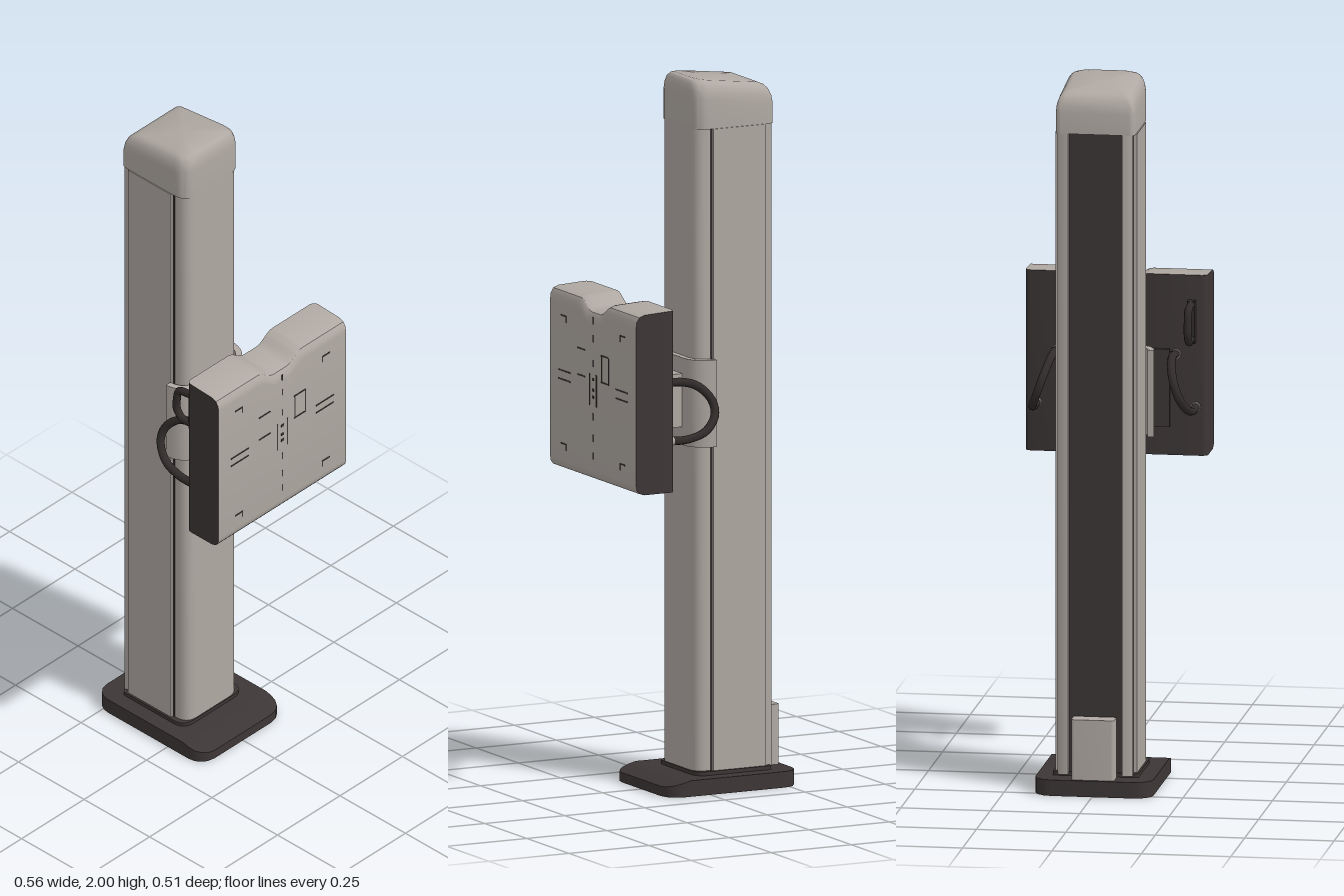
import * as THREE from 'three';
import { toCreasedNormals } from 'three/addons/utils/BufferGeometryUtils.js';

const mat = (name, color) => Object.assign(new THREE.MeshStandardMaterial({ color }), { name });

// Rounded plan outline (x, z), symmetric in z
function planShape(x0, x1, hz, rBack, rFront) {
  const s = new THREE.Shape();
  s.moveTo(x0 + rBack, -hz);
  s.lineTo(x1 - rFront, -hz);
  s.quadraticCurveTo(x1, -hz, x1, -hz + rFront);
  s.lineTo(x1, hz - rFront);
  s.quadraticCurveTo(x1, hz, x1 - rFront, hz);
  s.lineTo(x0 + rBack, hz);
  s.quadraticCurveTo(x0, hz, x0, hz - rBack);
  s.lineTo(x0, -hz + rBack);
  s.quadraticCurveTo(x0, -hz, x0 + rBack, -hz);
  return s;
}

// Upright prism from a plan outline
function prism(shape, y0, y1) {
  const g = new THREE.ExtrudeGeometry(shape, { depth: y1 - y0, bevelEnabled: false, curveSegments: 6 });
  g.rotateX(-Math.PI / 2).translate(0, y0, 0);
  return toCreasedNormals(g, 0.6);
}

// Closed skin over a row of convex cross-sections, wound outward
function loft(rings) {
  const tris = [];
  const n = rings[0].length;
  const mid = r => r.reduce((a, p) => a.add(p), new THREE.Vector3()).divideScalar(n);
  const last = rings[rings.length - 1];
  const c0 = mid(rings[0]), c1 = mid(last);
  for (let j = 0; j < n; j++) {
    const k = (j + 1) % n;
    for (let i = 0; i + 1 < rings.length; i++) {
      const a = rings[i][j], b = rings[i][k], c = rings[i + 1][k], d = rings[i + 1][j];
      tris.push([a, b, c], [a, c, d]);
    }
    tris.push([rings[0][k], rings[0][j], c0], [last[j], last[k], c1]);
  }
  const o = mid([...rings[0]]).add(c1).multiplyScalar(0.5);
  let volume = 0;
  for (const [a, b, c] of tris) {
    volume += a.clone().sub(o).dot(b.clone().sub(o).cross(c.clone().sub(o)));
  }
  if (volume < 0) tris.forEach(t => t.reverse());
  const g = new THREE.BufferGeometry().setFromPoints(tris.flat());
  return toCreasedNormals(g, 0.6);
}

export function createModel() {
  const model = new THREE.Group();
  const grey = mat('warm grey', 0xb0a9a3);
  const dark = mat('charcoal', 0x3d3636);
  const black = mat('grip black', 0x312c2b);
  const add = (name, geometry, material) => {
    const m = new THREE.Mesh(geometry, material);
    m.name = name;
    model.add(m);
    return m;
  };
  const box = (name, x0, x1, y0, y1, z0, z1, material) =>
    add(name, new THREE.BoxGeometry(x1 - x0, y1 - y0, z1 - z0)
      .translate((x0 + x1) / 2, (y0 + y1) / 2, (z0 + z1) / 2), material);
  const V = (x, y, z) => new THREE.Vector3(x, y, z);

  // Foot plate with rounded corners and a sloping toe
  const footRings = [-0.28, -0.275, -0.263, -0.248, -0.23, 0.06, 0.08, 0.1, 0.115, 0.125, 0.13].map(x => {
    const e = Math.max(0, -0.23 - x, x - 0.08);
    const w = 0.115 + Math.sqrt(Math.max(0, 0.0025 - e * e));
    const h = x > 0.06 ? 0.045 - (x - 0.06) * 0.25 : 0.045;
    return [V(x, 0, -w), V(x, h, -w), V(x, h, w), V(x, 0, w)];
  });
  add('footPlate', loft(footRings), dark);
  add('columnTrim', prism(planShape(-0.215, 0.018, 0.12, 0.01, 0.04), 0.04, 0.056), dark);

  // Column with an open channel down its back
  const col = new THREE.Shape();
  col.moveTo(-0.222, -0.105);
  col.lineTo(-0.025, -0.105);
  col.quadraticCurveTo(0.015, -0.105, 0.015, -0.065);
  col.lineTo(0.015, 0.065);
  col.quadraticCurveTo(0.015, 0.105, -0.025, 0.105);
  for (const [x, z] of [[-0.222, 0.105], [-0.225, 0.1], [-0.225, 0.075], [-0.205, 0.075],
    [-0.205, -0.075], [-0.225, -0.075], [-0.225, -0.1]]) col.lineTo(x, z);
  add('column', prism(col, 0.05, 1.86), grey);
  box('backChannelStrip', -0.21, -0.203, 0.05, 1.858, -0.0745, 0.0745, dark);
  for (const s of [-1, 1]) {
    const a = s * 0.1, b = s * 0.114, c = s * 0.1056;
    box('sidePanel', -0.2, -0.036, 0.05, 1.86, Math.min(a, b), Math.max(a, b), grey);
    box('sideGroove', -0.036, -0.03, 0.05, 1.86, Math.min(a, c), Math.max(a, c), dark);
    box('rearGroove', -0.204, -0.2, 0.05, 1.86, Math.min(a, c), Math.max(a, c), dark);
  }

  // Column cap, softened and rising toward the front
  const capRings = [[0, 1.86, 0], [0, 1.945, 0.12], [0.003, 1.965, 0.12], [0.01, 1.982, 0.12],
    [0.02, 1.992, 0.12], [0.035, 1.997, 0.12]].map(([inset, y, slope]) =>
    planShape(-0.227 + inset, 0.016 - inset * 0.6, 0.111 - inset * 0.8, 0.015, 0.042)
      .getPoints(6).slice(0, -1).map(p => V(p.x, y + slope * p.x, p.y)));
  add('columnCap', loft(capRings), grey);

  // Connection box behind the column
  add('connectionBox', prism(planShape(-0.27, -0.22, 0.06, 0.008, 0.001), 0.045, 0.215), grey);

  // Carriage wrapped round the column front, with its arm
  const wrap = new THREE.Shape();
  wrap.moveTo(-0.035, -0.136);
  wrap.quadraticCurveTo(0.034, -0.128, 0.034, -0.07);
  wrap.lineTo(0.034, 0.07);
  wrap.quadraticCurveTo(0.034, 0.128, -0.035, 0.136);
  wrap.lineTo(-0.035, 0.118);
  wrap.quadraticCurveTo(0.017, 0.112, 0.017, 0.066);
  wrap.lineTo(0.017, -0.066);
  wrap.quadraticCurveTo(0.017, -0.112, -0.035, -0.118);
  add('carriage', prism(wrap, 0.97, 1.215), grey);
  box('arm', 0.03, 0.16, 1.02, 1.17, -0.06, 0.06, grey);

  // Detector panel with a chin notch in the top edge
  const profile = [[0.157, 0.88], [0.255, 0.88], [0.27, 0.885], [0.278, 0.895], [0.28, 0.91],
    [0.28, 1.35], [0.278, 1.367], [0.27, 1.38], [0.255, 1.386], [0.175, 1.39], [0.157, 1.39]];
  const zs = [];
  for (let i = -9; i <= 9; i++) zs.push(i / 100);
  const ends = [0.24, 0.249, 0.254, 0.255];
  const panelRings = [...ends.map(z => -z).reverse(), ...zs, ...ends].map(z => {
    const notch = 0.03 * (1 - THREE.MathUtils.smoothstep(Math.abs(z), 0.025, 0.088));
    const e = Math.max(0, Math.abs(z) - 0.238) / 0.017;
    const back = 0.157 + 0.016 * (1 - Math.sqrt(Math.max(0, 1 - e * e)));
    return profile.map(([x, y]) => V(Math.max(x, back), y > 1.2 ? y - notch : y, z));
  });
  const panel = loft(panelRings);
  // Sides and back are dark, front and edges grey
  const pos = panel.attributes.position;
  const tri = new THREE.Triangle(), nrm = new THREE.Vector3();
  for (let i = 0; i < pos.count; i += 3) {
    tri.setFromAttributeAndIndices(pos, i, i + 1, i + 2).getNormal(nrm);
    panel.addGroup(i, 3, nrm.x < -0.3 || Math.abs(nrm.z) > 0.75 ? 1 : 0);
  }
  add('detectorPanel', panel, [grey, dark]);

  // Positioning marks on the panel face
  const mark = (z, y, w, h) => box('faceMark', 0.279, 0.2812, y - h / 2, y + h / 2, z - w / 2, z + w / 2, dark);
  for (const y of [0.95, 1.0, 1.06, 1.21, 1.28, 1.33]) mark(0, y, 0.004, 0.02);
  for (const y of [1.115, 1.135, 1.165]) mark(0, y, 0.01, 0.008);
  for (const s of [-1, 1]) {
    mark(s * 0.02, 1.135, 0.004, 0.09);
    mark(s * 0.17, 1.16, 0.07, 0.004);
    mark(s * 0.17, 1.135, 0.07, 0.004);
    for (const y of [0.955, 1.315]) {
      mark(s * 0.175, y, 0.03, 0.004);
      mark(s * 0.16, y - 0.008, 0.004, 0.02);
    }
    mark(s * 0.07, 1.165, 0.045, 0.004);
    mark(s * 0.07, 1.24, 0.045, 0.004);
  }
  for (const z of [-0.05, -0.092]) mark(z, 1.2, 0.004, 0.075);

  // Patient hand grips, collars and latch plates on the panel back
  for (const s of [-1, 1]) {
    const path = new THREE.CatmullRomCurve3([[0.16, 1.166, 0.167], [0.1, 1.17, 0.166], [0.045, 1.155, 0.171],
      [0.007, 1.115, 0.184], [0.004, 1.075, 0.198], [0.04, 1.035, 0.215], [0.1, 1.018, 0.222],
      [0.16, 1.018, 0.222]].map(([x, y, z]) => V(x, y, z * s)));
    add('handGrip', new THREE.TubeGeometry(path, 32, 0.012, 8), black);
    for (const [y, z] of [[1.166, 0.167], [1.018, 0.222]]) {
      add('gripCollar', new THREE.CylinderGeometry(0.014, 0.014, 0.012, 12)
        .rotateZ(Math.PI / 2).translate(0.154, y, z * s), grey);
    }
    const a = s * 0.07, b = s * 0.15;
    box('latchPlate', 0.148, 0.16, 0.96, 1.18, Math.min(a, b), Math.max(a, b), dark);
  }

  // Small release handle on one side
  const loop = new THREE.CatmullRomCurve3([[0.15, 1.31], [0.12, 1.308], [0.088, 1.3], [0.08, 1.27],
    [0.08, 1.235], [0.1, 1.212], [0.13, 1.212], [0.15, 1.215]].map(([x, y]) => V(x, y, 0.212)));
  add('releaseHandle', new THREE.TubeGeometry(loop, 32, 0.011, 8), black);
  box('releaseHandleMount', 0.135, 0.16, 1.2, 1.32, 0.201, 0.223, black);

  return model;
}
